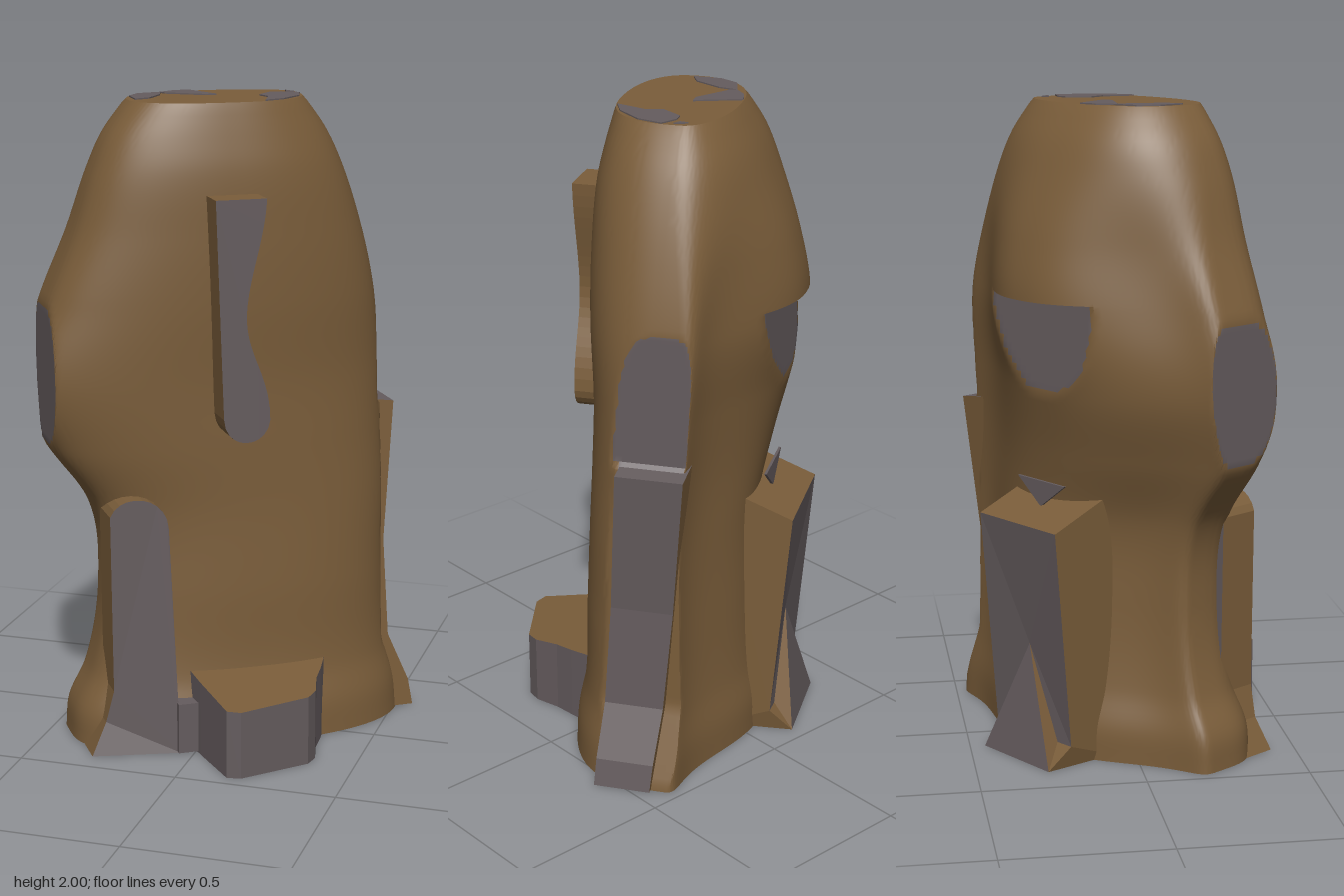
import * as THREE from 'three';
import { toCreasedNormals } from 'three/addons/utils/BufferGeometryUtils.js';

// Body levels: height, low end, high end, front, back
const LEVELS = [
  [0, -0.50, 0.605, 0.24, -0.33], [0.1, -0.49, 0.595, 0.235, -0.33],
  [0.22, -0.435, 0.57, 0.21, -0.31], [0.5, -0.39, 0.55, 0.2, -0.295],
  [0.75, -0.42, 0.55, 0.19, -0.295], [0.95, -0.555, 0.54, 0.19, -0.325],
  [1.15, -0.64, 0.53, 0.19, -0.37], [1.4, -0.555, 0.503, 0.2, -0.425],
  [1.6, -0.475, 0.455, 0.2, -0.395], [1.8, -0.41, 0.385, 0.19, -0.325],
  [1.9, -0.365, 0.335, 0.17, -0.28], [2, -0.292, 0.262, 0.145, -0.215],
];
const LOW_CUT = -0.557, LEDGE = 1.43;

function bodyGeometry() {
  const track = new THREE.CubicInterpolant(
    LEVELS.map((l) => l[0]), LEVELS.flatMap((l) => l.slice(1)), 4);
  const N = 180, rows = [];
  for (let i = 0; i <= 100; i++) {
    const y = i / 50;
    rows.push([y, y < LEDGE]);
    if (Math.abs(y - 1.42) < 1e-6) rows.push([LEDGE, true], [LEDGE, false]);
  }
  const pos = [], cut = [];
  for (const [y, notched] of rows) {
    const [lo, hi, front, back] = track.evaluate(y);
    const mid = (lo + hi) / 2, half = (hi - lo) / 2;
    const hump = 1 - THREE.MathUtils.smoothstep(y, 1.4, 2);
    const highCut = y < 0.25 ? 0.61 - 0.4 * y : y < 1.03 ? 0.51 : 0.495;
    const backCut = -0.342 - 0.09 * (LEDGE - y);
    for (let j = 0; j < N; j++) {
      const t = (j / N) * Math.PI * 2, c = Math.cos(t), s = Math.abs(Math.sin(t));
      const v0 = -0.06 - 0.04 * c;
      let u = mid + half * Math.sign(c) * Math.abs(c) ** 0.85;
      const bell = hump * (0.42 * s ** 0.25 + 0.58 * s ** 6) + (1 - hump) * s;
      let v = j < N / 2 ? v0 + (front - v0) * s ** 0.75 : v0 + (back - v0) * bell;
      let kind = 0;
      // planar cuts leave bare flats at both ends and under the rear ledge
      if (u < LOW_CUT) { u = LOW_CUT; kind = 1; }
      if (u > highCut) { u = highCut; kind = y > 1 ? 2 : 0; }
      if (notched && y > 1.14 && v < backCut) { v = backCut; kind = 3; }
      pos.push(u, Math.min(y, 1.996), v);
      cut.push(kind);
    }
  }
  const faces = [[], []];
  const tri = (a, b, c) =>
    faces[cut[a] && cut[a] === cut[b] && cut[b] === cut[c] ? 1 : 0].push(a, b, c);
  for (let i = 0; i < rows.length - 1; i++) {
    for (let j = 0; j < N; j++) {
      const a = i * N + j, b = i * N + (j + 1) % N;
      tri(a, a + N, b);
      tri(b, a + N, b + N);
    }
  }
  const bottom = pos.length / 3, last = (rows.length - 1) * N;
  pos.push(0, 0, 0, 0, 1.996, 0);
  cut.push(0, 0);
  for (let j = 0; j < N; j++) {
    const k = (j + 1) % N;
    tri(bottom, j, k);
    tri(bottom + 1, last + k, last + j);
  }
  const g = new THREE.BufferGeometry();
  g.setAttribute('position', new THREE.Float32BufferAttribute(pos, 3));
  g.setIndex([...faces[0], ...faces[1]]);
  g.addGroup(0, faces[0].length, 0);
  g.addGroup(faces[0].length, faces[1].length, 1);
  return toCreasedNormals(g, 0.6);
}

const shapeOf = (pts) => new THREE.Shape(pts.map((p) => new THREE.Vector2(...p)));

// Extruded outline standing between two depths
function slab(shape, from, to) {
  const g = new THREE.ExtrudeGeometry(shape, { depth: to - from, bevelEnabled: false, curveSegments: 10 });
  return g.translate(0, 0, from);
}

// Move every vertex by a rule
function warp(g, rule) {
  const p = g.attributes.position, v = new THREE.Vector3();
  for (let i = 0; i < p.count; i++) {
    v.fromBufferAttribute(p, i);
    rule(v);
    p.setXYZ(i, v.x, v.y, v.z);
  }
  g.computeVertexNormals();
  return g;
}

// Rear block: pinched four-triangle panel, leaning sides and a sloping top
function rearBlockGeometry() {
  const tl = [-0.18, 0.75, -0.435], tr = [0.17, 0.75, -0.435];
  const sl = [-0.18, 0.07, -0.375], sr = [0.17, 0.07, -0.375];
  const bl = [-0.155, 0, -0.445], br = [0.15, 0, -0.445], c = [0, 0.36, -0.385];
  // inner ends of the thin strips that part the side and lower triangles
  const pl = [-0.12, 0.07, -0.378], pr = [0.115, 0.07, -0.378];
  const itl = [-0.18, 0.84, -0.2], itr = [0.17, 0.84, -0.2];
  const ibl = [-0.18, 0, -0.2], ibr = [0.17, 0, -0.2];
  const panel = [tr, c, tl, tl, c, sl, sl, c, pl, bl, c, br, pr, c, sr, sr, c, tr];
  const quad = (a, b, d, e) => [a, b, d, a, d, e];
  const sides = [
    pl, c, bl, sl, pl, bl, br, c, pr, br, pr, sr, bl, ibl, sl, br, sr, ibr,
    ...quad(tr, tl, itl, itr), ...quad(sl, ibl, itl, tl),
    ...quad(sr, tr, itr, ibr), ...quad(bl, br, ibr, ibl),
  ];
  const g = new THREE.BufferGeometry();
  g.setAttribute('position', new THREE.Float32BufferAttribute([...panel, ...sides].flat(), 3));
  g.addGroup(0, panel.length, 0);
  g.addGroup(panel.length, sides.length, 1);
  g.computeVertexNormals();
  return g;
}

export function createModel() {
  const brown = new THREE.MeshStandardMaterial({ color: 0x7a5d3a });
  brown.name = 'brown';
  const grey = new THREE.MeshStandardMaterial({ color: 0x655c5e });
  grey.name = 'grey';
  const model = new THREE.Group();
  model.name = 'carvedTower';
  const tower = new THREE.Group();
  tower.name = 'tower';
  tower.rotation.y = 0.59;
  model.add(tower);
  const add = (name, geometry, material, parent = tower) => {
    const m = new THREE.Mesh(geometry, material);
    m.name = name;
    parent.add(m);
  };

  add('body', bodyGeometry(), [brown, grey]);

  // Long raised ridge with a waist and a rounded lower end
  const ridge = new THREE.Shape();
  ridge.moveTo(-0.11, 1.73);
  ridge.lineTo(-0.085, 1.07);
  ridge.bezierCurveTo(-0.08, 0.97, 0.05, 0.97, 0.06, 1.06);
  ridge.bezierCurveTo(0.06, 1.2, -0.015, 1.26, -0.015, 1.38);
  ridge.bezierCurveTo(-0.01, 1.5, 0.04, 1.6, 0.047, 1.73);
  ridge.closePath();
  add('frontRidge', slab(ridge, 0.12, 0.29), [grey, brown]);

  // Upright strip at one side of the front, widening at the foot
  const strip = new THREE.Shape();
  strip.moveTo(-0.48, 0);
  strip.lineTo(-0.21, 0);
  strip.lineTo(-0.235, 0.72);
  strip.bezierCurveTo(-0.24, 0.83, -0.38, 0.84, -0.41, 0.76);
  strip.lineTo(-0.405, 0.2);
  strip.lineTo(-0.43, 0.1);
  strip.closePath();
  add('frontStrip', warp(slab(strip, 0.04, 0.205), (v) => {
    if (v.z > 0.1) v.z += 0.19 * (v.x + 0.24) + (v.y < 0.05 ? 0.03 : 0);
  }), [grey, brown]);

  // Low front buttress with a sloping top, and a small block beside it
  const plan = shapeOf([[-0.165, -0.18], [-0.156, -0.27], [-0.13, -0.465], [-0.09, -0.483],
    [0.14, -0.435], [0.175, -0.4], [0.205, -0.32], [0.24, -0.26], [0.28, -0.18]]);
  add('buttress', warp(slab(plan, 0, 0.24).rotateX(-Math.PI / 2), (v) => {
    if (v.y > 0.1) v.y = 0.27 - 0.12 * v.z;
  }), [brown, grey]);
  add('smallBlock', new THREE.BoxGeometry(0.08, 0.16, 0.18).translate(-0.18, 0.085, 0.165), grey);

  // Flat upright with a spreading foot on the high end, twisting slightly as it rises
  const upright = shapeOf([[0.4, 0.004], [0.625, 0.004], [0.61, 0.09], [0.54, 0.25],
    [0.525, 0.57], [0.56, 1.02], [0.45, 1.035]]);
  add('endUpright', warp(slab(upright, 0, 1), (v) => {
    v.z = THREE.MathUtils.lerp(-0.1 - 0.085 * v.y, 0.075 - 0.055 * v.y, v.z);
  }), [brown, grey]);

  add('rearBlock', rearBlockGeometry(), [grey, brown]);

  // Small triangle above the rear block
  const notch = shapeOf([[-0.11, 0.865], [0.105, 0.865], [0, 0.785]]);
  add('rearTriangle', slab(notch, -0.337, -0.329), grey);

  // Bare patches on the flat top
  const patches = [
    [[-0.275, 0.0], [-0.22, -0.06], [-0.2, 0.0], [-0.2, 0.1], [-0.23, 0.145], [-0.275, 0.07]],
    [[-0.22, -0.06], [-0.2, -0.11], [-0.16, -0.15], [-0.04, -0.06], [-0.07, -0.04], [-0.2, -0.045]],
    [[0.1, -0.16], [0.13, -0.18], [0.19, -0.18], [0.21, -0.1], [0.19, 0.0], [0.15, 0.06], [0.13, -0.04], [0.09, -0.08]],
    [[0.13, -0.23], [0.165, -0.205], [0.14, -0.205]],
  ];
  for (const pts of patches) {
    const outline = shapeOf(pts.map(([x, z]) => [x, -z]));
    add('topPatch', slab(outline, 1.994, 2).rotateX(-Math.PI / 2), grey, model);
  }
  return model;
}
